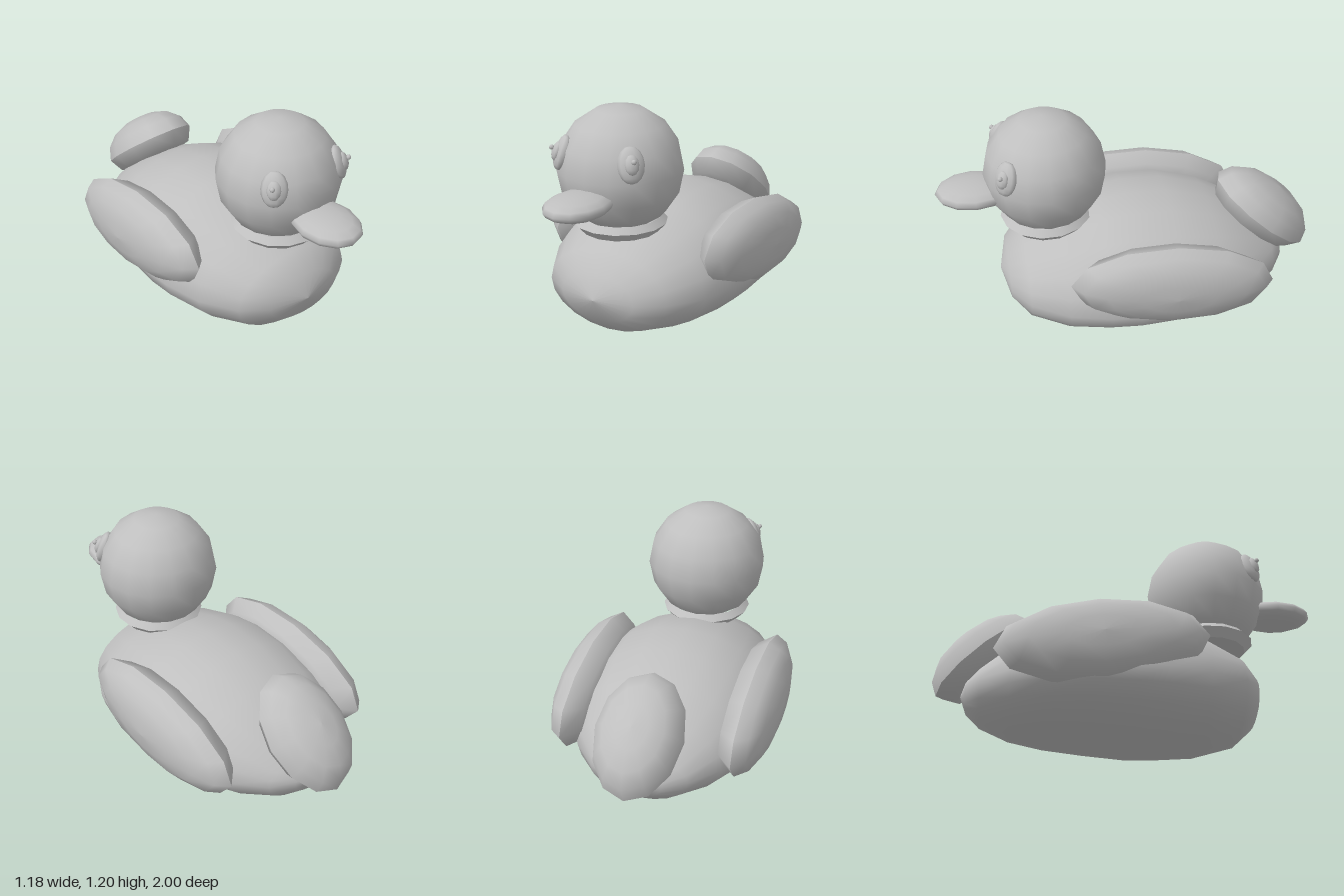
import * as THREE from 'three';

const grey = new THREE.MeshStandardMaterial({ color: 0xbfbfbf });
grey.name = 'plain grey';

function part(name, geometry, parent) {
  const mesh = new THREE.Mesh(geometry, grey);
  mesh.name = name;
  parent.add(mesh);
  return mesh;
}

const lathe = (points, segments) =>
  new THREE.LatheGeometry(points.map(([r, y]) => new THREE.Vector2(r, y)), segments);

// Oval cushion with a sharp rim: domed on +y, flatter on -y
function addPad(parent, name, halfWidth, halfLength, dome, under, orient) {
  const pad = new THREE.Group();
  pad.name = name;
  const halves = {
    Dome: [[1, 0], [0.9, dome * 0.44], [0.68, dome * 0.76], [0.36, dome * 0.95], [0, dome]],
    Underside: [[0, -under], [0.5, -under], [0.84, -under * 0.85], [1, 0]],
  };
  for (const [half, points] of Object.entries(halves)) {
    const geometry = lathe(points, 12).scale(halfWidth, 1, halfLength);
    part(name + half, orient(geometry), pad);
  }
  parent.add(pad);
  return pad;
}

// Loft of egg-shaped rings from breast to rump: [z, bottom, middle, top, halfWidth]
function bodyGeometry() {
  const stations = [
    [0.70, 0.26, 0.26, 0.26, 0],
    [0.66, 0.14, 0.26, 0.39, 0.21],
    [0.57, 0.055, 0.26, 0.48, 0.345],
    [0.38, 0.01, 0.25, 0.57, 0.455],
    [0.17, 0.002, 0.25, 0.635, 0.51],
    [0.02, 0, 0.25, 0.66, 0.525],
    [-0.20, 0.02, 0.25, 0.65, 0.52],
    [-0.42, 0.038, 0.25, 0.585, 0.475],
    [-0.60, 0.06, 0.25, 0.49, 0.38],
    [-0.75, 0.11, 0.25, 0.375, 0.25],
    [-0.82, 0.17, 0.25, 0.31, 0.14],
    [-0.85, 0.25, 0.25, 0.25, 0],
  ];
  const n = 20, positions = [], index = [];
  stations.forEach(([z, bottom, middle, top, halfWidth], i) => {
    for (let j = 0; j < n; j++) {
      const a = (j / n) * Math.PI * 2, s = Math.sin(a);
      positions.push(halfWidth * Math.cos(a), middle + s * (s > 0 ? top - middle : middle - bottom), z);
      if (i === stations.length - 1) continue;
      const k = (j + 1) % n;
      const p = i * n + j, q = i * n + k, r = p + n, t = q + n;
      if (i < stations.length - 2) index.push(p, r, t);
      else index.push(p, r, q);
      if (i > 0 && i < stations.length - 2) index.push(p, t, q);
    }
  });
  const geometry = new THREE.BufferGeometry();
  geometry.setAttribute('position', new THREE.Float32BufferAttribute(positions, 3));
  geometry.setIndex(index);
  geometry.computeVertexNormals();
  return geometry;
}

export function createModel() {
  const model = new THREE.Group();
  model.name = 'bathDuck';

  part('body', bodyGeometry(), model);

  // Head on a bevelled collar
  const headCentre = new THREE.Vector3(0, 0.88, 0.435);
  part('head', new THREE.SphereGeometry(0.316, 16, 8), model).position.copy(headCentre);
  const collar = new THREE.Group();
  collar.name = 'collar';
  collar.position.z = 0.44;
  model.add(collar);
  part('collarLower', lathe([[0, 0.562], [0.195, 0.562]], 14), collar);
  part('collarFlare', lathe([[0.195, 0.562], [0.237, 0.607]], 14), collar);
  part('collarUpper', lathe([[0.237, 0.607], [0.205, 0.638]], 14), collar);

  // Beak: two shallow halves meeting at a sharp edge
  for (const [name, start] of [['upperBeak', 0], ['lowerBeak', Math.PI / 2]]) {
    const half = new THREE.SphereGeometry(1, 12, 4, 0, Math.PI * 2, start, Math.PI / 2);
    part(name, half.scale(0.153, 0.059, 0.2), model).position.set(0, 0.787, 0.8);
  }

  for (const side of [1, -1]) {
    const label = side > 0 ? 'left' : 'right';

    // Wing, domed outward and raised slightly at the front
    const wing = addPad(model, label + 'Wing', 0.225, 0.533, 0.145, 0.1,
      (g) => g.rotateZ(-side * Math.PI / 2));
    wing.position.set(side * 0.443, 0.39, -0.155);
    wing.rotation.x = -0.11;

    // Eye with raised iris and pupil, facing out from the head
    const eye = new THREE.Group();
    eye.name = label + 'Eye';
    eye.position.set(side * 0.198, 0.976, 0.645);
    const outward = eye.position.clone().sub(headCentre);
    eye.rotation.set(-Math.atan2(outward.y, Math.hypot(outward.x, outward.z)),
      Math.atan2(outward.x, outward.z), 0, 'YXZ');
    model.add(eye);
    part('eyeball', new THREE.SphereGeometry(1, 10, 8).scale(0.066, 0.09, 0.035), eye);
    part('iris', new THREE.SphereGeometry(1, 10, 6).scale(0.036, 0.05, 0.025), eye)
      .position.z = 0.025;
    part('pupil', new THREE.SphereGeometry(0.013, 8, 6), eye).position.set(side * 0.006, 0.012, 0.054);
  }

  // Tail, sloping down over the rump
  const tail = addPad(model, 'tail', 0.228, 0.325, 0.165, 0.09, (g) => g);
  tail.position.set(0, 0.465, -0.73);
  tail.rotation.x = -0.72;

  return model;
}
